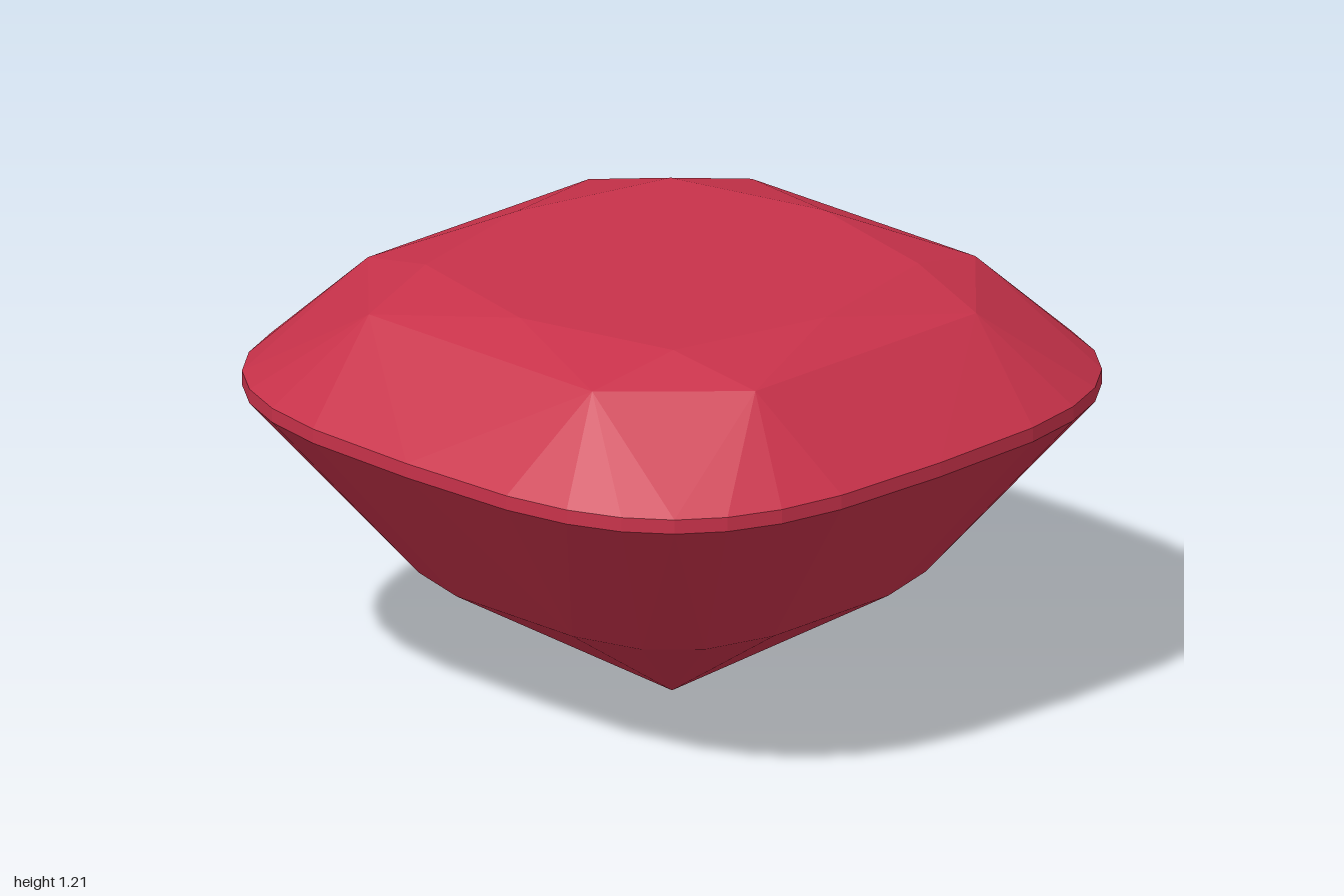
import * as THREE from 'three';

const SEGMENTS = 32; // girdle points

// Point on a rounded-square ring; index counts girdle steps.
function ringPoint(index, scale, y) {
  const a = (index / SEGMENTS) * Math.PI * 2;
  const soften = (v) => (Math.abs(v) < 1e-9 ? 0 : Math.sign(v) * Math.abs(v) ** 0.625);
  return [soften(Math.cos(a)) * scale, y, soften(Math.sin(a)) * scale];
}

const table = (i) => ringPoint(i, 0.573, 1.205);
const crownRing = (i) => ringPoint(i, 0.758, 1.145);
const girdleTop = (i) => ringPoint(i, 1, 0.906);
const girdleBottom = (i) => ringPoint(i, 1, 0.866);
const pavilionRing = (i) => ringPoint(i, 0.6, 0.366);
const culet = [0, 0, 0];

// Flat-faceted mesh from a list of triangles.
function facetMesh(name, triangles, material) {
  const geometry = new THREE.BufferGeometry();
  geometry.setAttribute('position', new THREE.Float32BufferAttribute(triangles.flat(2), 3));
  geometry.computeVertexNormals();
  const mesh = new THREE.Mesh(geometry, material);
  mesh.name = name;
  return mesh;
}

export function createModel() {
  const group = new THREE.Group();
  group.name = 'gemstone';
  const red = new THREE.MeshStandardMaterial({ color: 0xc8324a, flatShading: true });
  red.name = 'ruby red';

  const tableFaces = [], crownFaces = [], girdleFaces = [], pavilionFaces = [];

  // Table and crown: eightfold star, main and girdle facets
  for (let i = 0; i < SEGMENTS; i += 4) {
    const mid = crownRing(i + 2), nextMid = crownRing(i + 6);
    tableFaces.push([[0, 1.205, 0], table(i + 4), table(i)]);
    crownFaces.push([table(i), table(i + 4), mid]);
    crownFaces.push([nextMid, mid, table(i + 4)]);
    crownFaces.push([mid, nextMid, girdleTop(i + 4)]);
    for (let k = i; k < i + 4; k++) {
      crownFaces.push([girdleTop(k + 1), girdleTop(k), mid]);
    }
  }

  // Girdle: thin upright band
  for (let i = 0; i < SEGMENTS; i++) {
    girdleFaces.push([girdleTop(i), girdleTop(i + 1), girdleBottom(i)]);
    girdleFaces.push([girdleBottom(i + 1), girdleBottom(i), girdleTop(i + 1)]);
  }

  // Pavilion: sixteen facets narrowing to a ring, then to the point
  for (let i = 0; i < SEGMENTS; i += 2) {
    const low = pavilionRing(i + 1), nextLow = pavilionRing(i + 3);
    pavilionFaces.push([girdleBottom(i), girdleBottom(i + 1), low]);
    pavilionFaces.push([girdleBottom(i + 1), girdleBottom(i + 2), low]);
    pavilionFaces.push([nextLow, low, girdleBottom(i + 2)]);
    pavilionFaces.push([low, nextLow, culet]);
  }

  group.add(
    facetMesh('table', tableFaces, red),
    facetMesh('crown', crownFaces, red),
    facetMesh('girdle', girdleFaces, red),
    facetMesh('pavilion', pavilionFaces, red),
  );
  return group;
}
